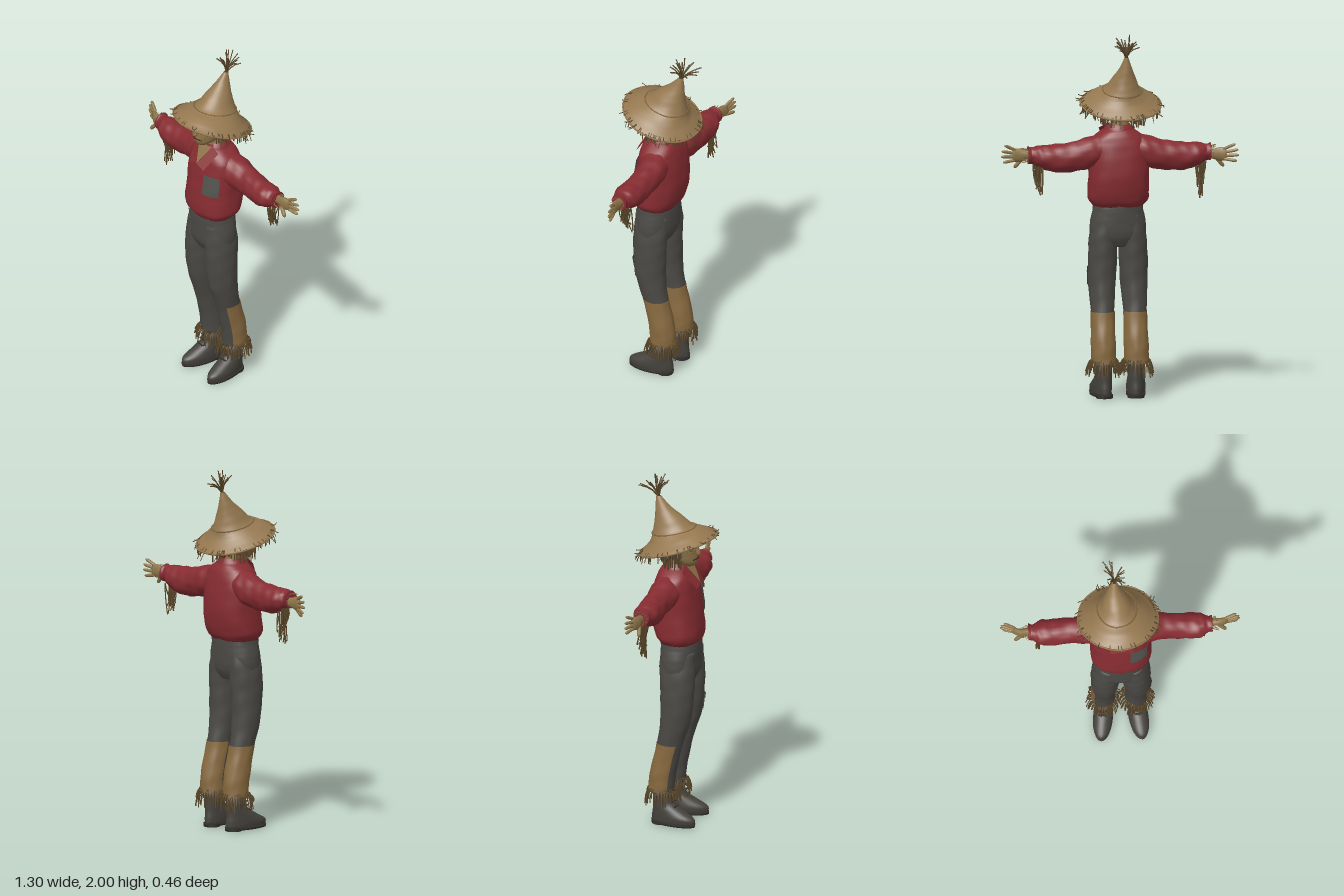
import * as THREE from 'three';
import { mergeGeometries, mergeVertices } from 'three/addons/utils/BufferGeometryUtils.js';

const mat = (name, color, side = THREE.FrontSide) => {
  const m = new THREE.MeshStandardMaterial({ color, side });
  m.name = name;
  return m;
};
const V = (x, y, z) => new THREE.Vector3(x, y, z);
const PI = Math.PI;

export function createModel() {
  const M = {
    red: mat('red cloth', 0x862c31, THREE.DoubleSide),
    grey: mat('dark grey cloth', 0x4b4945, THREE.DoubleSide),
    patch: mat('grey patch', 0x53534e, THREE.DoubleSide),
    boot: mat('boot leather', 0x45423d),
    sole: mat('boot sole', 0x33302c),
    hat: mat('straw hat', 0x957850, THREE.DoubleSide),
    burlap: mat('burlap', 0x8e7549, THREE.DoubleSide),
    tan: mat('tan cloth', 0x87693f, THREE.DoubleSide),
    straw: mat('dark straw', 0x5c482a, THREE.DoubleSide),
    dark: mat('dark stitching', 0x3a2d1c, THREE.DoubleSide),
  };
  const root = new THREE.Group();
  const add = (name, geo, material, parent = root) => {
    const m = new THREE.Mesh(geo, material);
    m.name = name;
    parent.add(m);
    return m;
  };
  let seed = 7;
  const rnd = (a = 0, b = 1) => {
    seed = (seed * 16807) % 2147483647;
    return a + (b - a) * (seed / 2147483647);
  };

  // Surface through oval sections [cx, cy, cz, r1, r2, tilt]; returns a function of (angle, v)
  const surf = (rows, { side = 0, wrinkle = 0, power = 1 } = {}) => {
    const centre = new THREE.CatmullRomCurve3(rows.map(r => V(r[0], r[1], r[2])), false, 'catmullrom', 0.5);
    const radii = new THREE.CatmullRomCurve3(rows.map(r => V(r[3], r[4], r[5] || 0)), false, 'catmullrom', 0.5);
    const pw = x => Math.sign(x) * Math.abs(x) ** power;
    return (a, v, scale = 1) => {
      const c = centre.getPoint(v), r = radii.getPoint(v);
      const fold = Math.sin(2 * a + v * 31) * Math.sin(v * 19 + 1) + 0.7 * Math.sin(5 * a - v * 23) + 0.4 * Math.sin(9 * a + v * 14);
      const k = scale * (1 + wrinkle * fold);
      const p = pw(Math.cos(a)) * r.x * k, q = pw(Math.sin(a)) * r.y * k;
      return side ? V(side * c.x, c.y + side * q, c.z + p) : V(c.x + p, c.y + r.z * q, c.z + q);
    };
  };
  // Skin a surface over a range of angle and length, with optional end caps
  const skin = (f, { a0 = 0, a1 = 2 * PI, v0 = 0, v1 = 1, nu = 28, nv = 24, scale = 1, cap = false } = {}) => {
    const pos = [], idx = [], w = nu + 1;
    for (let i = 0; i <= nv; i++) for (let j = 0; j <= nu; j++)
      pos.push(...f(a0 + (a1 - a0) * j / nu, v0 + (v1 - v0) * i / nv, scale).toArray());
    for (let i = 0; i < nv; i++) for (let j = 0; j < nu; j++) {
      const a = i * w + j, b = a + 1, c = a + w, d = c + 1;
      idx.push(a, c, b, b, c, d);
    }
    if (cap) for (const [i, v] of [[0, v0], [nv, v1]]) {
      const n = pos.length / 3;
      pos.push(...f(0, v, scale).add(f(PI, v, scale)).multiplyScalar(0.5).toArray());
      for (let j = 0; j < nu; j++) i ? idx.push(n, i * w + j + 1, i * w + j) : idx.push(n, j, j + 1);
    }
    let g = new THREE.BufferGeometry();
    g.setAttribute('position', new THREE.Float32BufferAttribute(pos, 3));
    g.setIndex(idx);
    g = mergeVertices(g, 1e-5);
    g.computeVertexNormals();
    return g;
  };
  const strand = (a, mid, b, r = 0.003) => new THREE.TubeGeometry(new THREE.QuadraticBezierCurve3(a, mid, b), 4, r, 4);
  const bundle = (name, n, make, material = M.straw) =>
    add(name, mergeGeometries(Array.from({ length: n }, (_, i) => make(i, n))), material);
  const taper = (a, b, ra, rb) => {
    const d = b.clone().sub(a);
    const g = new THREE.CapsuleGeometry(1, 2, 4, 8).scale(rb, d.length() / 4, ra);
    g.applyQuaternion(new THREE.Quaternion().setFromUnitVectors(V(0, 1, 0), d.clone().normalize()));
    return g.translate(...a.clone().add(b).multiplyScalar(0.5).toArray());
  };
  const quad = (...p) => {
    const g = new THREE.BufferGeometry().setFromPoints(p);
    g.setIndex(p.length === 3 ? [0, 1, 2] : [0, 1, 2, 0, 2, 3]);
    g.computeVertexNormals();
    return g;
  };

  // Shirt
  const torso = surf([[0, 1.045, 0.005, 0.135, 0.105], [0, 1.09, 0, 0.165, 0.126], [0, 1.2, -0.015, 0.165, 0.132],
    [0, 1.33, -0.02, 0.165, 0.12], [0, 1.41, -0.02, 0.15, 0.104], [0, 1.455, -0.02, 0.1, 0.085], [0, 1.48, -0.02, 0.055, 0.06]],
    { wrinkle: 0.012, power: 0.85 });
  add('shirtBody', skin(torso, { nu: 40, cap: true }), M.red);
  add('chestPatch', skin(torso, { a0: 0.22 * PI, a1: 0.43 * PI, v0: 0.345, v1: 0.5, nu: 6, nv: 6, scale: 1.05 }), M.patch);
  add('buttonPlacket', skin(torso, { a0: 0.47 * PI, a1: 0.53 * PI, v0: 0.02, v1: 0.62, nu: 3, nv: 16, scale: 1.035 }), M.red);
  add('collarBand', skin(surf([[0, 1.445, -0.02, 0.09, 0.085], [0, 1.475, -0.02, 0.078, 0.075], [0, 1.495, -0.02, 0.06, 0.062]]),
    { a0: 0.72 * PI, a1: 2.28 * PI, nv: 5 }), M.red);
  add('neckOpening', quad(V(-0.05, 1.485, 0.056), V(0, 1.385, 0.117), V(0.05, 1.485, 0.056)), M.burlap);
  for (const s of [-1, 1]) add('collarFlap', quad(V(s * 0.005, 1.385, 0.119), V(s * 0.058, 1.365, 0.117),
    V(s * 0.1, 1.465, 0.045), V(s * 0.05, 1.492, 0.045)), M.red);

  // Arms, hands and wrist straw
  for (const s of [-1, 1]) {
    const sleeve = surf([[0.07, 1.37, -0.03, 0.075, 0.075], [0.15, 1.345, -0.04, 0.082, 0.088], [0.25, 1.325, -0.048, 0.07, 0.08],
      [0.35, 1.315, -0.045, 0.07, 0.077], [0.43, 1.325, -0.042, 0.068, 0.064], [0.475, 1.333, -0.042, 0.045, 0.045],
      [0.5, 1.336, -0.045, 0.046, 0.048]], { side: s, wrinkle: 0.035 });
    add('sleeve', skin(sleeve, { nv: 36, cap: true }), M.red);
    const hand = new THREE.Group();
    hand.name = 'hand';
    root.add(hand);
    hand.position.set(0, s < 0 ? -0.012 : 0.004, -0.05);
    const out = s < 0 ? -0.035 : -0.02;
    add('palm', skin(surf([[0.46, 1.335, 0, 0.024, 0.026], [0.51, 1.335, 0, 0.02, 0.027], [0.55, 1.333, 0, 0.018, 0.038],
      [0.585, 1.335, out * 0.4, 0.013, 0.034]], { side: s }), { nu: 12, nv: 8, cap: true }), M.burlap, hand);
    const tips = [[0.632, 1.392], [0.648, 1.36], [0.652, 1.33], [0.64, 1.298]];
    tips.forEach(([x, y], i) => {
      const a = V(s * 0.565, 1.36 - i * 0.017, out * 0.3), b = V(s * x, y, out);
      add('finger', taper(a, b, 0.009, 0.009), M.burlap, hand);
    });
    add('thumb', taper(V(s * 0.525, 1.322, 0.005), V(s * 0.575, 1.262, 0.018), 0.011, 0.011), M.burlap, hand);
    const low = s < 0 ? 1.08 : 1.12;
    bundle('wristStraw', 22, () => {
      const x = s * rnd(0.42, 0.475), z = -0.05 + rnd(-0.025, 0.025);
      return strand(V(x, 1.285, z), V(x, 1.22, z + rnd(-0.02, 0.02)), V(s * rnd(0.425, 0.46), rnd(low, 1.19), -0.06 + rnd(-0.03, 0.03)), 0.004);
    });
    bundle('cuffStraw', 12, i => {
      const a = i / 12 * 2 * PI, c = Math.cos(a), d = Math.sin(a);
      return strand(V(s * 0.49, 1.335 + d * 0.03, -0.045 + c * 0.03), V(s * 0.51, 1.335 + d * 0.036, -0.045 + c * 0.03),
        V(s * rnd(0.51, 0.54), 1.335 + d * 0.04, -0.045 + c * 0.04), 0.002);
    }, M.burlap);
  }

  // Trousers
  const hips = surf([[0, 0.825, 0.008, 0.11, 0.075], [0, 0.88, 0.008, 0.15, 0.1], [0, 0.95, 0.006, 0.152, 0.105],
    [0, 1.02, 0.006, 0.138, 0.106], [0, 1.065, 0.005, 0.132, 0.103]], { power: 0.9, wrinkle: 0.004 });
  add('trouserHips', skin(hips, { nu: 36, cap: true }), M.grey);
  add('waistband', skin(hips, { nu: 36, nv: 3, v0: 0.82, v1: 0.97, scale: 1.015 }), M.grey);
  for (const a of [0.3, 0.7, 1.2, 1.5, 1.8])
    add('beltLoop', skin(hips, { a0: a * PI, a1: (a + 0.03) * PI, v0: 0.78, v1: 0.98, nu: 2, nv: 3, scale: 1.045 }), M.grey);
  for (const s of [-1, 1]) {
    const leg = surf([[s * 0.09, 0.19, -0.075, 0.063, 0.07], [s * 0.09, 0.3, -0.065, 0.064, 0.072], [s * 0.089, 0.45, -0.03, 0.063, 0.07],
      [s * 0.088, 0.6, 0.003, 0.073, 0.084], [s * 0.084, 0.75, 0.012, 0.078, 0.095], [s * 0.079, 0.88, 0.01, 0.077, 0.098],
      [s * 0.065, 1, 0.008, 0.066, 0.095]], { wrinkle: 0.018 });
    add('trouserLeg', skin(leg, { nv: 40, cap: true }), M.grey);
    // Tan cloth wrapped round the back and outside of the shin
    const [a0, a1] = s > 0 ? [0.98 * PI, 2.22 * PI] : [0.78 * PI, 2.02 * PI];
    add('shinWrap', skin(leg, { a0, a1, v0: 0, v1: 0.355, nv: 16, scale: 1.05 }), M.tan);
    if (s > 0) {
      add('cargoPocket', skin(leg, { a0: 0.04 * PI, a1: 0.45 * PI, v0: 0.51, v1: 0.6, nu: 8, nv: 4, scale: 1.06 }), M.grey);
      add('pocketFlap', skin(leg, { a0: 0.02 * PI, a1: 0.47 * PI, v0: 0.585, v1: 0.615, nu: 8, nv: 2, scale: 1.09 }), M.grey);
    }
    bundle('ankleStraw', 64, (i, n) => {
      const a = i / n * 2 * PI, c = Math.cos(a), d = Math.sin(a), k = rnd(0.075, 0.1);
      const p = (r, y) => V(s * 0.09 + c * r, y, -0.072 + d * r * 1.05);
      return strand(p(0.06, rnd(0.19, 0.22)), p(0.085, 0.21), p(k, rnd(0.11, 0.18)), 0.0035);
    });

    // Boots, turned slightly outward
    const boot = new THREE.Group();
    boot.name = 'boot';
    boot.position.set(s * 0.088, 0, -0.07);
    boot.rotation.y = s * 0.13;
    root.add(boot);
    add('bootUpper', skin(surf([[0, 0.02, 0.065, 0.05, 0.128], [0, 0.05, 0.063, 0.053, 0.125], [0, 0.085, 0.035, 0.05, 0.092],
      [0, 0.12, 0.008, 0.046, 0.064], [0, 0.17, 0, 0.046, 0.055], [0, 0.23, -0.003, 0.052, 0.058]]), { cap: true }), M.boot, boot);
    add('bootSole', skin(surf([[0, 0.005, 0.065, 0.052, 0.129], [0, 0.022, 0.065, 0.054, 0.131]]), { nv: 2, cap: true }), M.sole, boot);
    add('bootHeel', new THREE.CylinderGeometry(0.046, 0.046, 0.02, 16).translate(0, 0.01, -0.016), M.sole, boot);
    for (let i = 0; i < 4; i++)
      add('bootLace', new THREE.BoxGeometry(0.045, 0.006, 0.008).translate(0, 0.11 + i * 0.025, [0.082, 0.066, 0.058, 0.055][i]), M.sole, boot);
  }

  // Head and face
  const hx = -0.02;
  add('neck', new THREE.CylinderGeometry(0.045, 0.055, 0.15, 16).translate(-0.008, 1.455, -0.01), M.burlap);
  const head = surf([[hx, 1.488, 0.055, 0.03, 0.035], [hx, 1.515, 0.036, 0.062, 0.068], [hx, 1.56, 0.016, 0.083, 0.087],
    [hx, 1.61, 0.012, 0.088, 0.088], [hx, 1.66, 0.008, 0.076, 0.078], [hx, 1.69, 0, 0.045, 0.045]], { wrinkle: 0.008 });
  add('head', skin(head, { cap: true }), M.burlap);
  add('nose', taper(V(hx, 1.61, 0.092), V(hx, 1.548, 0.116), 0.014, 0.015), M.burlap);
  for (const s of [-1, 1]) {
    const eye = new THREE.Group();
    eye.name = 'eye';
    eye.position.set(hx + s * 0.037, 1.598, 0.094);
    eye.rotation.y = s * 0.38;
    root.add(eye);
    add('eyeRim', new THREE.TorusGeometry(0.021, 0.004, 6, 18).scale(1, 0.8, 1), M.tan, eye);
    add('eyeSlit', new THREE.BoxGeometry(0.03, 0.006, 0.008), M.dark, eye);
    add('brow', taper(V(hx + s * 0.014, 1.622, 0.098), V(hx + s * 0.064, 1.63, 0.08), 0.006, 0.006), M.tan);
    add('ear', new THREE.SphereGeometry(1, 10, 8).scale(0.012, 0.026, 0.016).translate(hx + s * 0.088, 1.585, 0), M.burlap);
  }
  add('mouth', strand(V(hx - 0.036, 1.528, 0.092), V(hx, 1.538, 0.127), V(hx + 0.036, 1.528, 0.092), 0.004), M.dark);
  bundle('strawHair', 60, (i, n) => {
    const a = PI * (0.88 + 1.24 * i / n), c = Math.cos(a), d = Math.sin(a), r = rnd(0.09, 0.115);
    const p = (k, y) => V(hx + c * k, y, 0.005 + d * k);
    return strand(p(0.085, 1.65), p(r, 1.6), p(r, rnd(1.48, 1.56)), 0.004);
  });

  // Hat: drooping brim tilted back, rising into a pointed crown
  const hat = surf([[-0.015, 1.603, -0.005, 0.218, 0.21, 0.3], [-0.015, 1.652, -0.012, 0.152, 0.15, 0.29],
    [-0.02, 1.69, -0.035, 0.098, 0.112, 0.2], [-0.025, 1.75, -0.058, 0.064, 0.078, 0.12],
    [-0.03, 1.81, -0.09, 0.034, 0.042, 0.05], [-0.03, 1.87, -0.115, 0.011, 0.013, 0]], { wrinkle: 0.008 });
  add('hat', skin(hat, { nu: 40, nv: 30 }), M.hat);
  const ring = (v, scale) => new THREE.CatmullRomCurve3(Array.from({ length: 32 }, (_, i) => hat(i / 16 * PI, v, scale)), true);
  add('brimEdge', new THREE.TubeGeometry(ring(0, 1), 64, 0.005, 5, true), M.hat);
  add('hatBand', new THREE.TubeGeometry(ring(0.36, 1.005), 64, 0.004, 5, true), M.tan);
  bundle('brimStraw', 46, () => {
    const a = rnd(0, 2 * PI), b = a + rnd(-0.12, 0.12), tip = hat(b, 0, rnd(1.02, 1.13));
    tip.y -= rnd(-0.015, 0.045);
    return strand(hat(a, 0.06), hat(a, 0, 1.02), tip, 0.0025);
  });
  bundle('brimFringe', 40, () => {
    const a = rnd(0.9 * PI, 2.1 * PI), p = hat(a, 0.02), q = p.clone().add(V(0, -rnd(0.02, 0.05), 0));
    return strand(p, p.clone().lerp(q, 0.5), q, 0.003);
  });
  bundle('topTuft', 22, i => {
    const tip = V(-0.03 + rnd(-0.065, 0.06), rnd(1.91, 1.985), rnd(-0.22, -0.06));
    if (i === 0) tip.set(-0.045, 1.998, -0.13);
    return strand(V(-0.03, 1.84, -0.107), V(-0.03 + rnd(-0.01, 0.01), 1.91, -0.13), tip, 0.0035);
  });
  return root;
}
